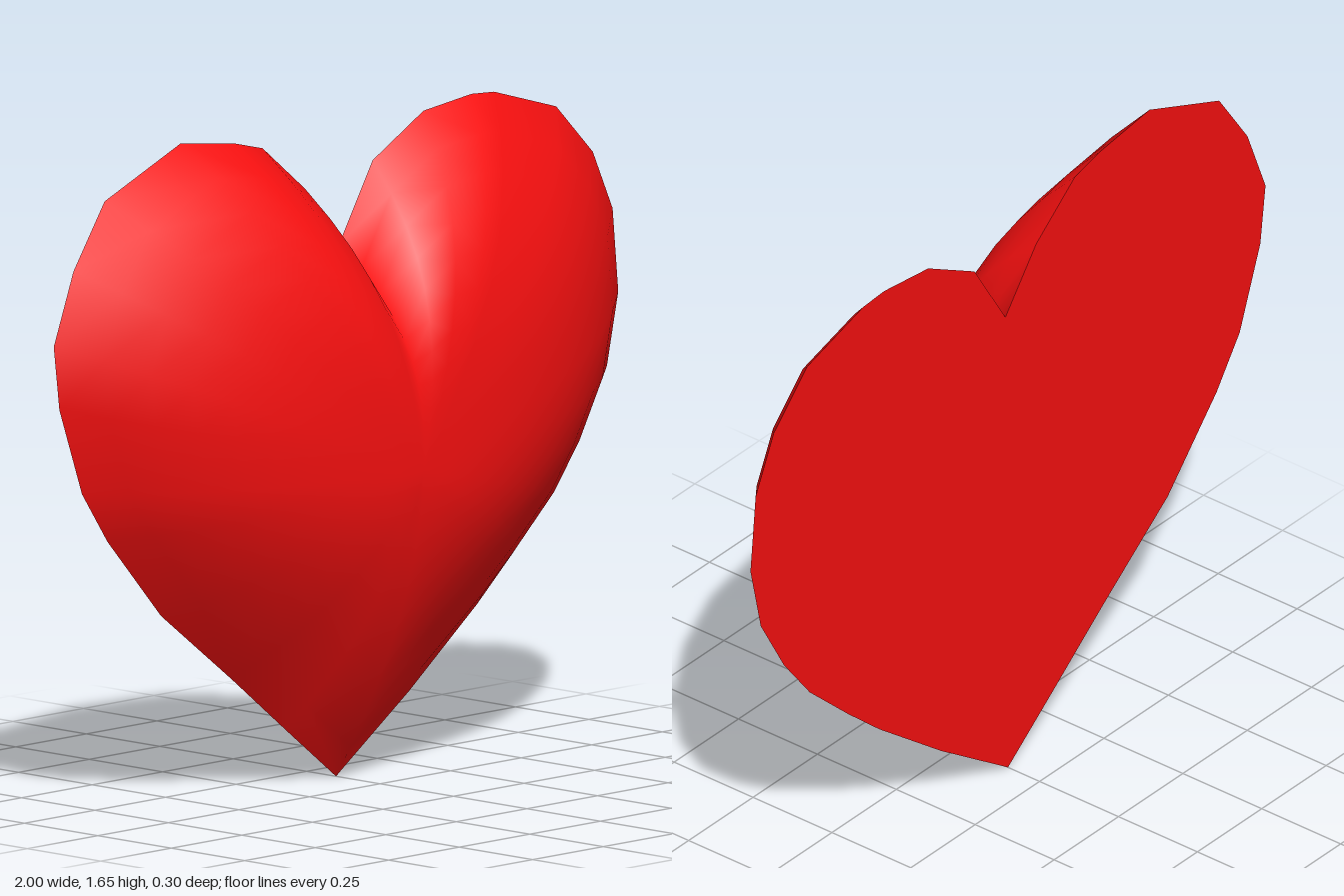
import * as THREE from 'three';

// Heart outline, counter-clockwise from the bottom tip
const OUTLINE = [
  [0, 0], [0.26, 0.18], [0.5, 0.365], [0.62, 0.47], [0.77, 0.61], [0.87, 0.74], [0.96, 0.9],
  [1, 1.08], [0.98, 1.29], [0.91, 1.44], [0.78, 1.57], [0.56, 1.635], [0.48, 1.64], [0.31, 1.62],
  [0.13, 1.52], [0.01, 1.325], [-0.11, 1.48], [-0.26, 1.6], [-0.36, 1.625], [-0.55, 1.65],
  [-0.82, 1.54], [-0.93, 1.38], [-1, 1.2], [-0.98, 1.04], [-0.9, 0.82], [-0.81, 0.69],
  [-0.62, 0.48], [-0.37, 0.29], [-0.18, 0.14],
];
const CENTER_Y = 0.8, BACK_Z = -0.15, DEPTH = 0.3, RINGS = 10;

// Domed front: concentric copies of the outline rising towards the centre
function domeGeometry() {
  const n = OUTLINE.length;
  const positions = [0, CENTER_Y, BACK_Z + DEPTH];
  const index = [];
  for (let r = 1; r <= RINGS; r++) {
    const s = r / RINGS;
    for (const [x, y] of OUTLINE) {
      // Fuller at the sides, leaner towards the tip
      const angle = Math.atan2(Math.abs(x), CENTER_Y - y);
      const power = 1.7 + 1.1 * Math.min(angle / 1.2, 1);
      positions.push(x * s, CENTER_Y + (y - CENTER_Y) * s, BACK_Z + DEPTH * (1 - s ** power));
    }
  }
  for (let i = 0; i < n; i++) {
    const j = (i + 1) % n;
    index.push(0, 1 + i, 1 + j);
    for (let r = 0; r < RINGS - 1; r++) {
      const a = 1 + r * n, b = a + n;
      index.push(a + i, b + i, b + j, a + i, b + j, a + j);
    }
  }
  const geometry = new THREE.BufferGeometry();
  geometry.setAttribute('position', new THREE.Float32BufferAttribute(positions, 3));
  geometry.setIndex(index);
  geometry.computeVertexNormals();
  return geometry;
}

// Flat back: the outline turned to face backwards
function backGeometry() {
  const shape = new THREE.Shape(OUTLINE.map(([x, y]) => new THREE.Vector2(-x, y)));
  return new THREE.ShapeGeometry(shape).rotateY(Math.PI).translate(0, 0, BACK_Z);
}

export function createModel() {
  const group = new THREE.Group();
  group.name = 'heart';
  const red = new THREE.MeshStandardMaterial({ color: 0xf81010 });
  const dome = new THREE.Mesh(domeGeometry(), red);
  dome.name = 'domedFront';
  const back = new THREE.Mesh(backGeometry(), red);
  back.name = 'flatBack';
  group.add(dome, back);
  return group;
}
